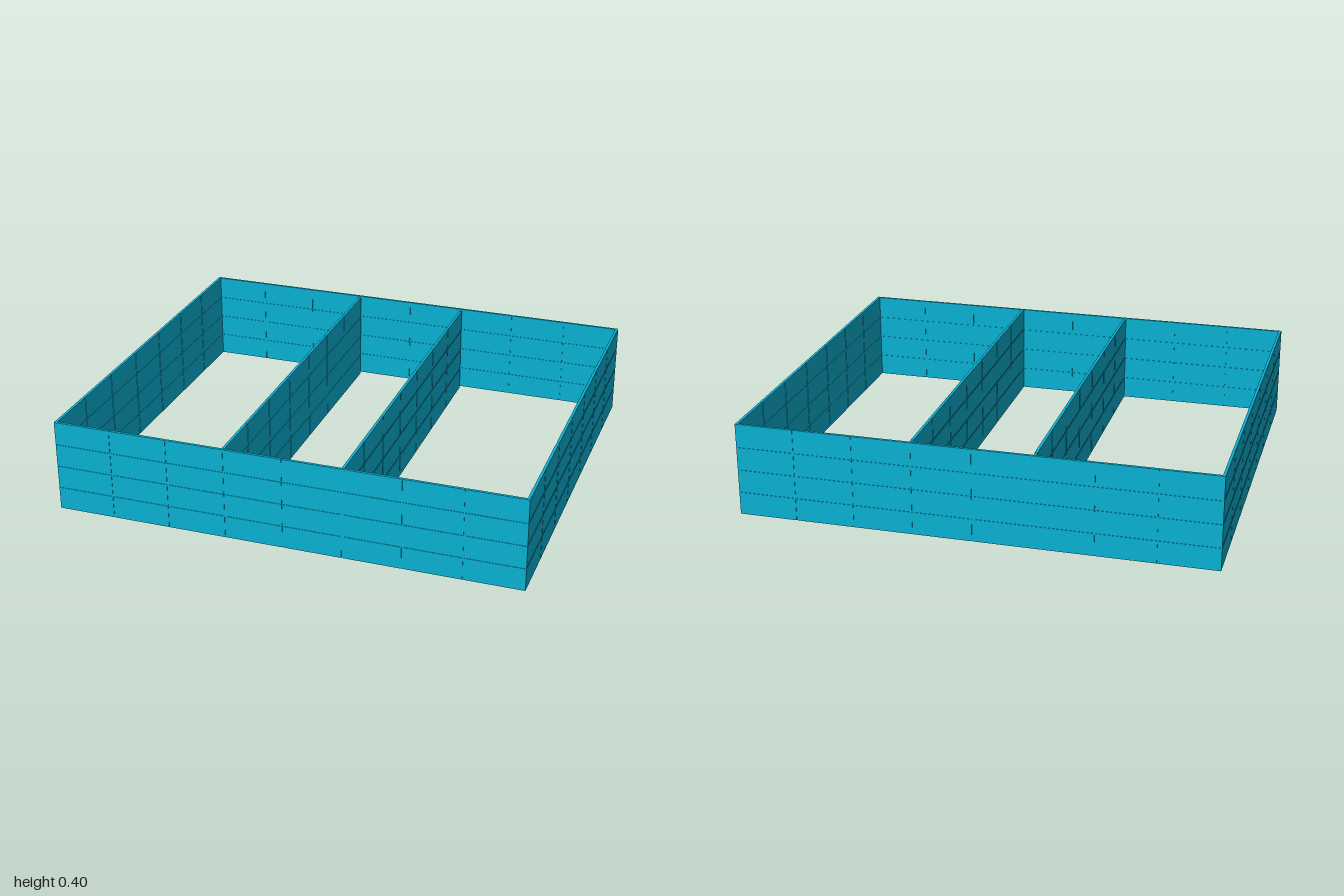
import * as THREE from 'three';
import { mergeGeometries } from 'three/addons/utils/BufferGeometryUtils.js';

const HEIGHT = 0.4, THICK = 0.012, CORE = 0.008, GROOVE = 0.005, ROWS = 4;

// Upright panel along x: a thin core faced with a grid of slightly raised tiles
function panelGeometry(length, columns) {
  const parts = [new THREE.BoxGeometry(length, HEIGHT, CORE)];
  const w = length / columns, h = HEIGHT / ROWS;
  for (let c = 0; c < columns; c++) {
    for (let r = 0; r < ROWS; r++) {
      // outer tiles run flush to the panel's edge
      const x0 = c * w + (c > 0 ? GROOVE / 2 : 0);
      const x1 = (c + 1) * w - (c < columns - 1 ? GROOVE / 2 : 0);
      const y0 = r * h + (r > 0 ? GROOVE / 2 : 0);
      const y1 = (r + 1) * h - (r < ROWS - 1 ? GROOVE / 2 : 0);
      const tile = new THREE.BoxGeometry(x1 - x0, y1 - y0, THICK);
      tile.translate((x0 + x1) / 2 - length / 2, (y0 + y1) / 2 - HEIGHT / 2, 0);
      parts.push(tile);
    }
  }
  return mergeGeometries(parts);
}

export function createModel() {
  const model = new THREE.Group();
  model.name = 'dividedFrame';
  const material = new THREE.MeshStandardMaterial({ color: 0x08b0d2 });

  function addPanel(name, length, columns, x, z, turned) {
    const mesh = new THREE.Mesh(panelGeometry(length, columns), material);
    mesh.name = name;
    mesh.position.set(x, HEIGHT / 2, z);
    if (turned) mesh.rotation.y = Math.PI / 2;
    model.add(mesh);
  }

  // Outer walls
  addPanel('frontWall', 2, 8, 0, 0.854, false);
  addPanel('backWall', 2, 8, 0, -0.854, false);
  for (const [side, s] of [['left', 1], ['right', -1]]) {
    addPanel(side + 'Wall', 1.696, 7, s * 0.994, 0, true);
    // Inner dividers meet the front wall and stop just short of the back wall
    addPanel(side + 'Divider', 1.678, 7, s * 0.253, 0.009, true);
  }
  return model;
}
